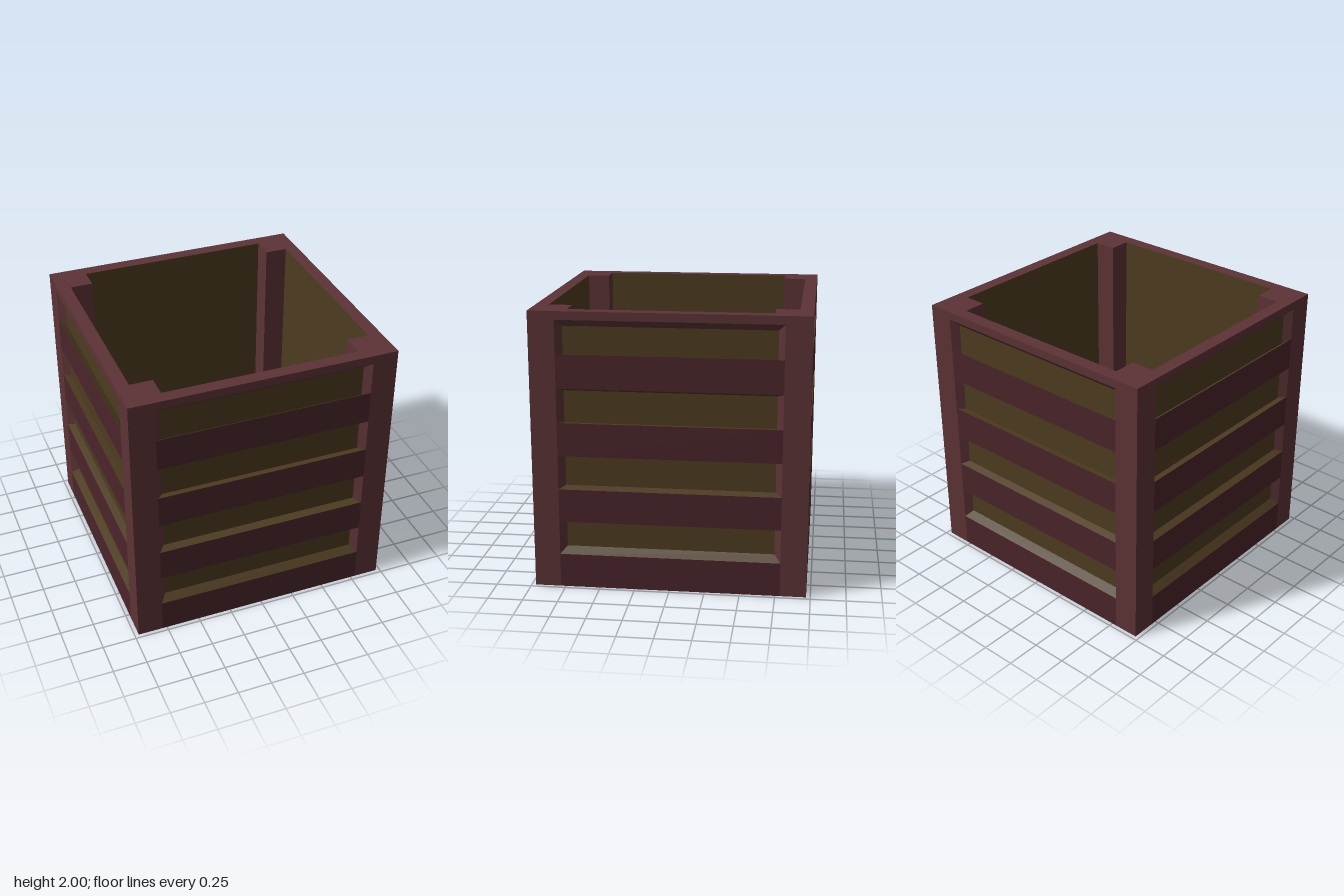
import * as THREE from 'three';

const paint = (color) => new THREE.MeshStandardMaterial({ color, flatShading: true });

export function createModel() {
  const group = new THREE.Group();
  const frameMat = paint(0x5c3335);
  const slatMat = paint(0x4a252a);
  const panelMat = paint(0x4d3b20);

  const OUT = 0.97;    // outer faces
  const MID = 0.92;    // face of the recessed panels
  const IN = 0.875;    // inner faces of the walls
  const OPEN = 0.785;  // half width of the openings at the front
  const TAPER = 0.943; // boards shrink towards the panel behind them

  const add = (parent, name, geometry, material) => {
    const mesh = new THREE.Mesh(geometry, material);
    mesh.name = name;
    parent.add(mesh);
    return mesh;
  };

  // Board from y0 to y1 in front of the panel, with its back edges tapered
  const board = (y0, y1) => {
    const geo = new THREE.BoxGeometry(OPEN * 2, y1 - y0, OUT - MID);
    geo.translate(0, (y0 + y1) / 2, (OUT + MID) / 2);
    const p = geo.attributes.position;
    for (let i = 0; i < p.count; i++) {
      if (p.getZ(i) > (OUT + MID) / 2) continue;
      p.setX(i, p.getX(i) * TAPER);
      const y = p.getY(i);
      if (y > 0.01 && y < 1.99) p.setY(i, 1.09 + (y - 1.09) * TAPER);
    }
    geo.computeVertexNormals();
    return geo;
  };

  // Corner post cross-section, with bevelled sides and a square inner corner
  const postShape = new THREE.Shape([
    [OUT, -OUT], [OUT, -OPEN], [MID, -0.74], [IN, -0.71],
    [0.71, -0.71], [0.71, -IN], [0.74, -MID], [OPEN, -OUT],
  ].map(([x, y]) => new THREE.Vector2(x, y)));
  const postGeo = new THREE.ExtrudeGeometry(postShape, { depth: 2, bevelEnabled: false });
  postGeo.rotateX(-Math.PI / 2);

  const panelGeo = new THREE.BoxGeometry(1.48, 1.98, MID - IN);
  panelGeo.translate(0, 1.01, (MID + IN) / 2);

  // Four equal sides, each with one post, a panel, a top rail and four slats
  ['front', 'left', 'back', 'right'].forEach((sideName, i) => {
    const side = new THREE.Group();
    side.name = sideName + 'Side';
    side.rotation.y = i * Math.PI / 2;
    add(side, 'cornerPost', postGeo, frameMat);
    add(side, 'panel', panelGeo, [panelMat, panelMat, frameMat, panelMat, panelMat, panelMat]);
    add(side, 'topRail', board(1.94, 2), frameMat);
    [[0, 0.245], [0.49, 0.73], [0.975, 1.215], [1.46, 1.7]].forEach(([y0, y1]) => {
      const under = y0 === 0 ? frameMat : panelMat;
      add(side, 'slat', board(y0, y1), [panelMat, panelMat, panelMat, under, slatMat, panelMat]);
    });
    group.add(side);
  });

  // Floor
  const floor = add(group, 'floor', new THREE.BoxGeometry(MID * 2, 0.06, MID * 2), frameMat);
  floor.position.y = 0.03;

  return group;
}
